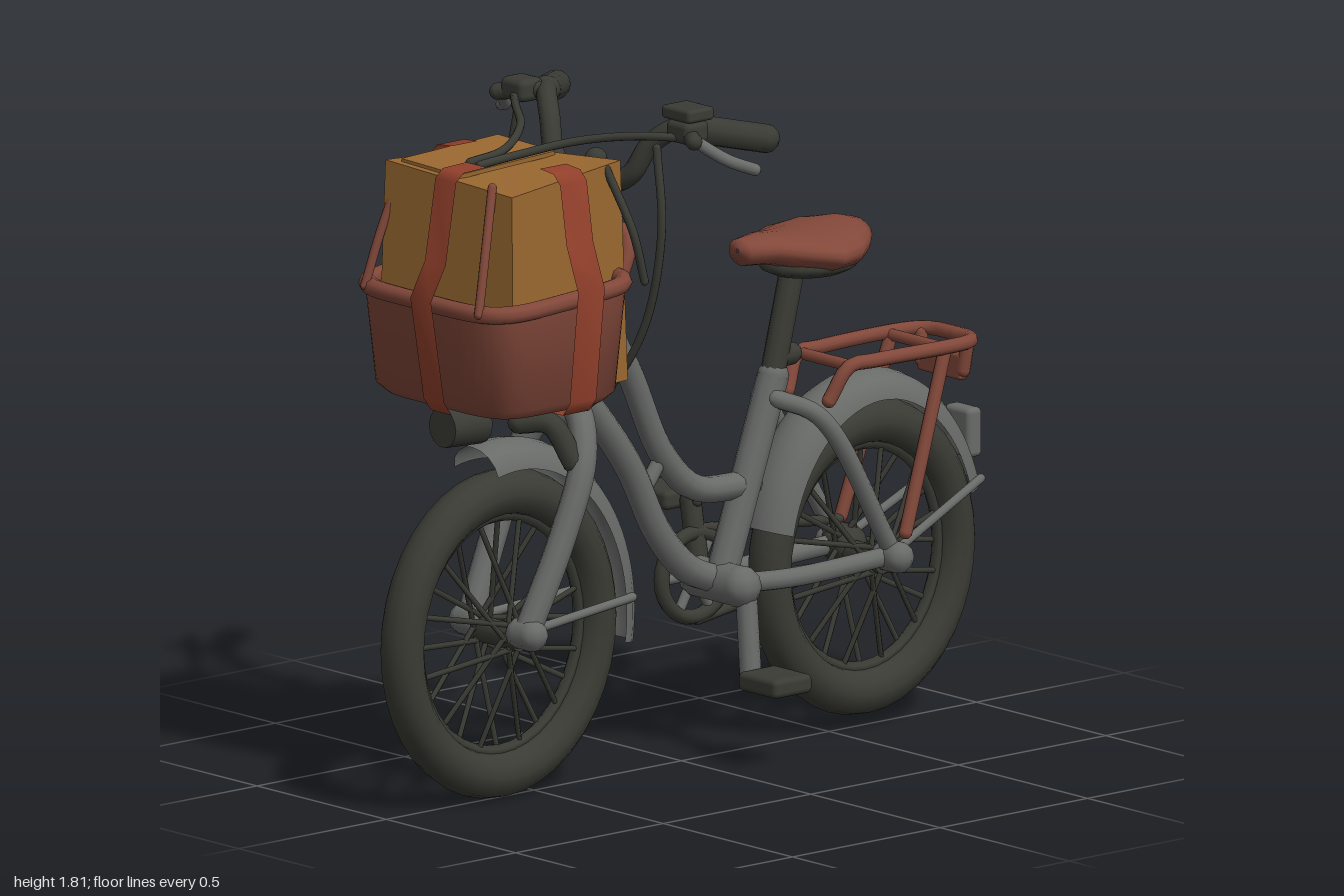
import * as THREE from 'three';
import { mergeGeometries, toCreasedNormals } from 'three/addons/utils/BufferGeometryUtils.js';
import { RoundedBoxGeometry } from 'three/addons/geometries/RoundedBoxGeometry.js';

const material = (name, color, side = THREE.FrontSide) => {
  const m = new THREE.MeshStandardMaterial({ color, side });
  m.name = name;
  return m;
};
const V = (p) => new THREE.Vector3(...p);

// Round tube through points, with ball ends
function tubeGeo(pts, r, segs = 24, sides = 10) {
  const v = pts.map(V);
  const curve = v.length === 2 ? new THREE.LineCurve3(v[0], v[1]) : new THREE.CatmullRomCurve3(v);
  const n = v.length === 2 ? 1 : segs;
  const ends = [v[0], v[v.length - 1]].map((p) => new THREE.SphereGeometry(r, sides, 6).translate(p.x, p.y, p.z));
  return mergeGeometries([new THREE.TubeGeometry(curve, n, r, sides), ...ends]);
}

// Skin over closed rings of equal point count
function loft(rings) {
  const n = rings[0].length, idx = [];
  for (let i = 0; i < rings.length - 1; i++) {
    for (let j = 0; j < n; j++) {
      const a = i * n + j, b = i * n + (j + 1) % n;
      idx.push(a, a + n, b, b, a + n, b + n);
    }
  }
  const g = new THREE.BufferGeometry();
  g.setAttribute('position', new THREE.Float32BufferAttribute(rings.flat(2), 3));
  g.setIndex(idx);
  g.computeVertexNormals();
  return g;
}

// Flat ribbon along points, widened along one axis
function ribbon(pts, axis, width) {
  const pos = [], idx = [];
  pts.forEach((p, i) => {
    for (const s of [-0.5, 0.5]) pos.push(...p.map((c, k) => c + axis[k] * s * width));
    if (i) idx.push(2 * i - 2, 2 * i - 1, 2 * i, 2 * i, 2 * i - 1, 2 * i + 1);
  });
  const g = new THREE.BufferGeometry();
  g.setAttribute('position', new THREE.Float32BufferAttribute(pos, 3));
  g.setIndex(idx);
  g.computeVertexNormals();
  return g;
}

// Curved mudguard following an elliptical arc
function fenderGeo(cx, cy, rx, ry, a0, a1) {
  const pos = [], idx = [], n = 28, m = 8;
  for (let i = 0; i <= n; i++) {
    const a = THREE.MathUtils.degToRad(a0 + (a1 - a0) * i / n);
    for (let j = 0; j <= m; j++) {
      const p = (j / m - 0.5) * Math.PI, d = 0.07 * (1 - Math.cos(p));
      pos.push(cx + (rx - d) * Math.cos(a), cy + (ry - d) * Math.sin(a), 0.085 * Math.sin(p));
      if (i < n && j < m) {
        const k = i * (m + 1) + j;
        idx.push(k, k + m + 1, k + 1, k + 1, k + m + 1, k + m + 2);
      }
    }
  }
  const g = new THREE.BufferGeometry();
  g.setAttribute('position', new THREE.Float32BufferAttribute(pos, 3));
  g.setIndex(idx);
  g.computeVertexNormals();
  return g;
}

export function createModel() {
  const root = new THREE.Group();
  const dark = material('dark rubber', 0x3a3b34), grey = material('grey paint', 0x696b69);
  const greyThin = material('grey sheet', 0x696b69, THREE.DoubleSide);
  const brown = material('brown leather', 0x82483a), tan = material('tan cardboard', 0x9a6830);
  const red = material('red strap', 0x92402b, THREE.DoubleSide);
  const add = (name, geo, mat) => {
    const m = new THREE.Mesh(geo, mat);
    m.name = name;
    root.add(m);
    return m;
  };
  const tube = (name, mat, r, ...pts) => add(name, tubeGeo(pts, r), mat);
  const box = (name, mat, w, h, d, x, y, z) =>
    add(name, new RoundedBoxGeometry(w, h, d, 2, Math.min(w, h, d) * 0.3), mat).position.set(x, y, z);

  // Wheels: tire, rim, hub and spokes, slightly taller than wide
  const wheel = (name, x, y, rx, ry) => {
    const parts = [
      new THREE.TorusGeometry(ry - 0.061, 0.061, 12, 40),
      new THREE.TorusGeometry(ry - 0.12, 0.018, 6, 40),
      new THREE.CylinderGeometry(0.035, 0.035, 0.17, 12).rotateX(Math.PI / 2),
    ];
    for (let i = 0; i < 24; i++) {
      const a = i / 24 * Math.PI * 2, s = i % 2 ? 1 : -1, b = a + (i % 4 < 2 ? 0.9 : -0.9);
      const r = ry - 0.11;
      parts.push(tubeGeo([[0.035 * Math.cos(b), 0.035 * Math.sin(b), s * 0.06],
        [r * Math.cos(a), r * Math.sin(a), 0]], 0.008, 1, 5));
    }
    const geo = mergeGeometries(parts.map((p) => (p.index ? p.toNonIndexed() : p)));
    add(name, geo.scale(rx / ry, 1, 1).translate(x, y, 0), dark);
  };
  wheel('frontWheel', -0.62, 0.44, 0.38, 0.43);
  wheel('rearWheel', 0.61, 0.455, 0.365, 0.415);
  add('frontFender', fenderGeo(-0.62, 0.45, 0.43, 0.5, 102, -10), greyThin);
  add('rearFender', fenderGeo(0.61, 0.455, 0.385, 0.49, 165, 18), greyThin);
  box('rearLight', grey, 0.05, 0.13, 0.1, 0.955, 0.73, 0);

  // Frame tubes
  tube('headTube', grey, 0.045, [-0.4, 0.99, 0], [-0.32, 1.38, 0]);
  tube('upperTube', grey, 0.035, [-0.34, 1.26, 0], [-0.27, 1.2, 0], [-0.18, 1.06, 0], [-0.07, 0.83, 0], [0.04, 0.72, 0], [0.23, 0.7, 0]);
  tube('lowerTube', grey, 0.038, [-0.37, 1.05, 0], [-0.3, 0.97, 0], [-0.18, 0.81, 0], [-0.08, 0.62, 0], [0.02, 0.51, 0], [0.14, 0.46, 0]);
  tube('seatTube', grey, 0.042, [0.13, 0.46, 0], [0.31, 0.97, 0]);
  tube('tubeBridge', grey, 0.02, [-0.14, 0.72, 0], [-0.08, 0.8, 0]);
  tube('bottomBracket', grey, 0.055, [0.13, 0.46, -0.08], [0.13, 0.46, 0.08]);
  tube('seatPost', dark, 0.033, [0.31, 0.98, 0], [0.38, 1.26, 0]);
  tube('seatClamp', dark, 0.03, [0.32, 1.02, 0], [0.37, 1.02, 0]);
  for (const s of [-1, 1]) {
    tube('forkBlade', grey, 0.036, [-0.62, 0.46, s * 0.11], [-0.52, 0.68, s * 0.125], [-0.44, 0.88, s * 0.12], [-0.4, 0.99, s * 0.06], [-0.39, 1.02, 0]);
    tube('frontAxle', grey, 0.042, [-0.62, 0.455, s * 0.09], [-0.62, 0.455, s * 0.13]);
    tube('frontFenderStay', grey, 0.012, [-0.62, 0.46, s * 0.11], [-0.24, 0.49, s * 0.085]);
    tube('chainStay', grey, 0.026, [0.15, 0.46, s * 0.05], [0.3, 0.46, s * 0.09], [0.62, 0.47, s * 0.1]);
    tube('seatStay', grey, 0.024, [0.29, 0.92, s * 0.03], [0.38, 0.87, s * 0.1], [0.62, 0.48, s * 0.11]);
    tube('rearAxle', grey, 0.042, [0.62, 0.47, s * 0.09], [0.62, 0.47, s * 0.13]);
    tube('rearFenderStay', grey, 0.012, [0.62, 0.47, s * 0.1], [0.94, 0.62, s * 0.085]);
  }
  tube('frontBrake', dark, 0.03, [-0.55, 0.98, 0], [-0.5, 0.98, 0.06], [-0.46, 0.88, 0.11]);

  // Drivetrain
  const ring = add('chainring', new THREE.TorusGeometry(0.11, 0.02, 8, 28), dark);
  ring.position.set(0.13, 0.46, -0.1);
  for (const a of [0, 1, 2]) {
    const c = Math.cos(a * Math.PI / 3) * 0.11, d = Math.sin(a * Math.PI / 3) * 0.11;
    tube('chainringArm', grey, 0.014, [0.13 - c, 0.46 - d, -0.1], [0.13 + c, 0.46 + d, -0.1]);
  }
  for (const s of [-1, 1]) tube('chain', dark, 0.014, [0.14, 0.46 + s * 0.12, -0.1], [0.62, 0.47 + s * 0.06, -0.1]);
  tube('sprocket', dark, 0.055, [0.62, 0.47, -0.07], [0.62, 0.47, -0.09]);
  for (const s of [-1, 1]) {
    const y = s > 0 ? 0.235 : 0.65, x = s > 0 ? 0.125 : 0.14;
    tube('crankArm', s > 0 ? grey : dark, 0.028, [0.14, 0.46, s * 0.09], [x, y, s * 0.125]);
    tube('pedalAxle', dark, 0.014, [x, y, s * 0.1], [x, y, s * 0.2]);
    box('pedal', dark, 0.13, 0.05, 0.15, x, y, s * 0.22);
  }

  // Saddle: sections [x, half width, bottom, top]
  const saddle = [[0.19, 0.005, 1.31, 1.32], [0.2, 0.045, 1.275, 1.345], [0.27, 0.075, 1.27, 1.35], [0.34, 0.12, 1.25, 1.345],
    [0.41, 0.172, 1.235, 1.345], [0.48, 0.16, 1.235, 1.355], [0.55, 0.105, 1.25, 1.355], [0.59, 0.065, 1.27, 1.345], [0.6, 0.005, 1.3, 1.31]];
  add('saddle', loft(saddle.map(([x, w, b, t]) => Array.from({ length: 20 }, (_, j) => {
    const a = -j / 20 * Math.PI * 2;
    return [x, (b + t) / 2 + Math.sin(a) * (t - b) / 2, Math.cos(a) * w];
  })).reverse()), brown);
  const pan = add('saddlePan', new THREE.SphereGeometry(1, 16, 8), dark);
  pan.scale.set(0.14, 0.04, 0.12);
  pan.position.set(0.43, 1.255, 0);

  // Rear rack
  for (const s of [-1, 1]) {
    tube('rackRail', brown, 0.019, [0.43, 0.9, s * 0.08], [0.48, 0.985, s * 0.1], [0.56, 0.99, s * 0.105], [0.88, 0.99, s * 0.105], [0.915, 0.99, s * 0.07], [0.92, 0.99, 0]);
    tube('rackLeg', brown, 0.018, [0.8, 0.98, s * 0.105], [0.65, 0.53, s * 0.125]);
    tube('rackHook', brown, 0.018, [0.89, 0.98, s * 0.09], [0.885, 0.91, s * 0.08]);
  }
  for (const x of [0.49, 0.8]) tube('rackCrossBar', brown, 0.016, [x, 0.985, -0.1], [x, 0.985, 0.1]);
  box('rackReflector', brown, 0.03, 0.07, 0.17, 0.885, 0.92, 0);

  // Basket: tapered shell with a rolled rim and a rear handle
  const rect = (y, hx, hz, tilt = 0) => Array.from({ length: 40 }, (_, j) => {
    const a = j / 40 * Math.PI * 2, c = Math.cos(a), s = Math.sin(a);
    const x = Math.sign(c) * Math.abs(c) ** 0.4 * hx;
    return [-0.63 + x, y + tilt * x, Math.sign(s) * Math.abs(s) ** 0.4 * hz];
  });
  const shell = loft([rect(1.065, 0.001, 0.001), rect(1.065, 0.2, 0.25), rect(1.09, 0.225, 0.275), rect(1.36, 0.25, 0.295, 0.06),
    rect(1.36, 0.225, 0.27, 0.06), rect(1.1, 0.2, 0.25), rect(1.1, 0.001, 0.001)]);
  add('basket', toCreasedNormals(shell, 0.9), brown);
  const rim = new THREE.CatmullRomCurve3(rect(1.36, 0.245, 0.288, 0.06).map(V), true);
  add('basketRim', new THREE.TubeGeometry(rim, 80, 0.024, 8, true), brown);
  tube('basketHandle', brown, 0.021, [-0.4, 1.21, 0.14], [-0.345, 1.33, 0.145], [-0.295, 1.44, 0.135], [-0.29, 1.46, 0.1],
    [-0.29, 1.46, -0.1], [-0.295, 1.44, -0.135], [-0.345, 1.33, -0.145], [-0.4, 1.21, -0.14]);

  // Parcel, narrowing and a little uneven at the top
  const parcel = new THREE.BoxGeometry(0.43, 0.56, 0.47, 1, 2, 1);
  const pp = parcel.attributes.position;
  for (let i = 0; i < pp.count; i++) {
    const k = 1 - 0.06 * (pp.getY(i) / 0.56 + 0.5);
    const lift = pp.getY(i) > 0.2 ? 0.015 * Math.sign(pp.getX(i) * pp.getZ(i)) : 0;
    pp.setXYZ(i, pp.getX(i) * k, pp.getY(i) + lift, pp.getZ(i) * k);
  }
  parcel.computeVertexNormals();
  const parcelMesh = add('parcel', toCreasedNormals(parcel, 0.5), tan);
  parcelMesh.position.set(-0.605, 1.38, 0);
  parcelMesh.rotation.y = 0.1;
  const flap = add('parcelFlap', new THREE.BoxGeometry(0.36, 0.012, 0.2), tan);
  flap.position.set(-0.61, 1.668, -0.09);
  flap.rotation.set(0.06, 0.1, 0);

  // Straps and cords
  for (const s of [-1, 1]) {
    add('sideStrap', ribbon([[-0.585, 1.055, 0], [-0.585, 1.055, s * 0.26], [-0.585, 1.09, s * 0.287], [-0.585, 1.385, s * 0.32],
      [-0.585, 1.5, s * 0.275], [-0.585, 1.655, s * 0.25], [-0.585, 1.68, s * 0.225], [-0.585, 1.685, s * 0.17]], [1, 0, 0], 0.09), red);
    tube('frontCord', brown, 0.012, [-0.79, 1.66, s * 0.17], [-0.84, 1.5, s * 0.2], [-0.88, 1.35, s * 0.22]);
    tube('rearCord', dark, 0.011, [-0.43, 1.66, s * 0.2], [-0.4, 1.5, s * 0.27], [-0.37, 1.37, s * 0.28]);
  }
  add('frontStrap', ribbon([[-0.84, 1.055, 0.03], [-0.865, 1.09, 0.03], [-0.91, 1.36, 0.03], [-0.86, 1.45, 0.03],
    [-0.825, 1.66, 0.03], [-0.8, 1.682, 0.03], [-0.72, 1.685, 0.03]], [0, 0, 1], 0.08), red);

  // Headlamp under the basket
  tube('headlampBracket', dark, 0.018, [-0.7, 1.07, 0], [-0.72, 1.0, 0]);
  add('headlamp', new THREE.CylinderGeometry(0.052, 0.058, 0.12, 14).rotateZ(Math.PI / 2), dark).position.set(-0.75, 1.005, 0);
  tube('basketSupport', grey, 0.02, [-0.4, 1.1, 0], [-0.55, 1.05, 0]);

  // Handlebar, grips, levers and cables
  tube('stem', dark, 0.042, [-0.325, 1.4, 0], [-0.305, 1.6, 0]);
  tube('stemCap', dark, 0.03, [-0.305, 1.58, 0], [-0.29, 1.63, 0]);
  for (const s of [-1, 1]) {
    tube('handlebar', dark, 0.027, [-0.31, 1.575, 0], [-0.31, 1.585, s * 0.09], [-0.3, 1.62, s * 0.15], [-0.275, 1.7, s * 0.195],
      [-0.23, 1.75, s * 0.26], [-0.17, 1.745, s * 0.32]);
    tube('grip', dark, 0.038, [-0.2, 1.745, s * 0.295], [-0.07, 1.72, s * 0.405]);
    box('leverClamp', dark, 0.08, 0.06, 0.09, -0.26, 1.755, s * 0.32);
    tube('brakeLever', grey, 0.016, [-0.27, 1.75, s * 0.31], [-0.28, 1.74, s * 0.37], [-0.22, 1.69, s * 0.43], [-0.18, 1.67, s * 0.49]);
    tube('leverBody', dark, 0.022, [-0.24, 1.755, s * 0.28], [-0.29, 1.74, s * 0.38]);
    tube('cable', dark, 0.011, [-0.27, 1.74, s * 0.34], [-0.36, 1.74, s * 0.23], [-0.45, 1.72, s * 0.11], [-0.58, 1.69, s * 0.03], [-0.7, 1.68, s * 0.02]);
    tube('brakeCable', dark, 0.011, [-0.32, 1.71, s * 0.27], [-0.33, 1.5, s * 0.3], [-0.33, 1.25, s * 0.24], [-0.35, 1.08, s * 0.14], [-0.38, 0.99, s * 0.04]);
  }
  box('bell', dark, 0.09, 0.035, 0.11, -0.25, 1.8, 0.31);

  return root;
}
